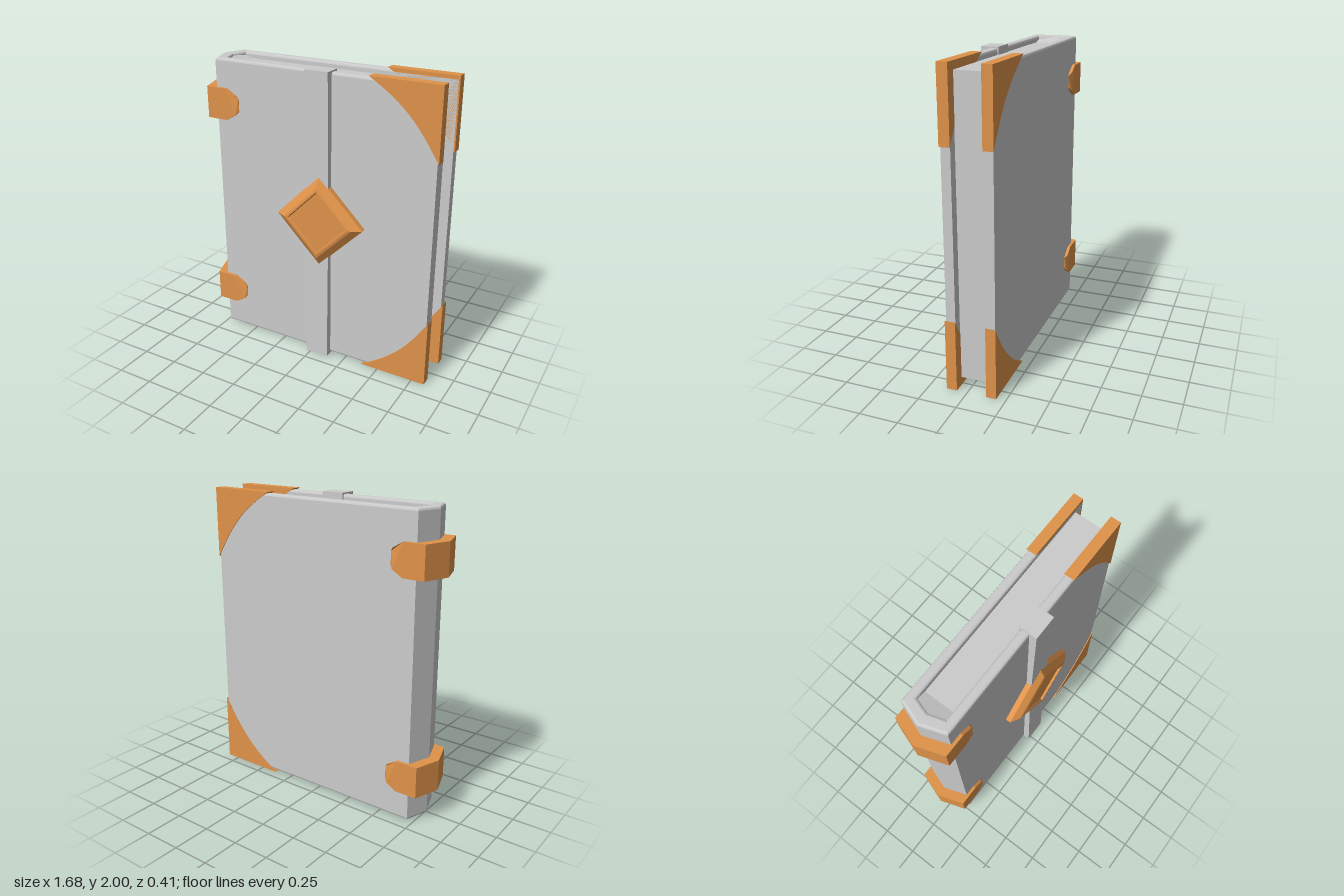
import * as THREE from 'three';

const grey = new THREE.MeshStandardMaterial({ color: 0xcccccc, flatShading: true });
const bronze = new THREE.MeshStandardMaterial({ color: 0xe0934a, flatShading: true });

const toShape = (pts) => new THREE.Shape(pts.map(([a, b]) => new THREE.Vector2(a, b)));

// Outline in x/z, raised from y0 to y1, with an optional inset bevel
function raise(pts, y0, y1, bevel = 0) {
  const geo = new THREE.ExtrudeGeometry(toShape(pts.map(([x, z]) => [x, -z])), {
    depth: y1 - y0 - 2 * bevel, bevelEnabled: bevel > 0, bevelSize: bevel,
    bevelThickness: bevel, bevelOffset: -bevel, bevelSegments: 2,
  });
  return geo.rotateX(-Math.PI / 2).translate(0, y0 + bevel, 0);
}

// Outline in x/y, extruded from z0 to z1
function plate(shape, z0, z1) {
  return new THREE.ExtrudeGeometry(shape, { depth: z1 - z0, bevelEnabled: false }).translate(0, 0, z0);
}

export function createModel() {
  const model = new THREE.Group();
  model.name = 'book';
  const add = (name, geo, material, parent = model) => {
    const mesh = new THREE.Mesh(geo, material);
    mesh.name = name;
    parent.add(mesh);
  };

  // Cover wrapped around a pointed spine
  add('cover', raise([
    [0.83, 0.13], [-0.72, 0.13], [-0.775, -0.03], [-0.72, -0.185], [0.83, -0.185],
    [0.83, -0.125], [-0.66, -0.125], [-0.69, -0.03], [-0.66, 0.07], [0.83, 0.07],
  ], 0.02, 1.99, 0.015), grey);

  // Recessed page block, sloping up towards the spine
  add('pages', plate(toShape([
    [-0.7, 0.03], [-0.6, 0.06], [0.77, 0.06], [0.77, 1.95], [-0.6, 1.95], [-0.7, 1.98],
  ]), -0.14, 0.08), grey);

  // Strap over the front cover, pulled in slightly at the middle
  const strap = new THREE.BoxGeometry(0.16, 1.99, 0.115, 1, 2, 1).translate(0.055, 1.005, 0.1205);
  const sp = strap.attributes.position;
  for (let i = 0; i < sp.count; i++) {
    if (Math.abs(sp.getY(i) - 1.005) < 0.1 && sp.getZ(i) > 0.1) sp.setZ(i, 0.165);
  }
  add('strap', strap, grey);

  // Diamond buckle with a raised rim
  const rim = [[0, 0.125], [0.312, 0.125], [0.312, 0.165], [0.25, 0.2], [0.23, 0.205], [0.215, 0.205], [0.208, 0.19], [0, 0.19]];
  const diamond = new THREE.LatheGeometry(rim.map(([r, h]) => new THREE.Vector2(r, h)), 4);
  diamond.rotateX(Math.PI / 2).translate(0.066, 1.02, 0);
  add('diamondBuckle', diamond, bronze);

  // Corner guards on both boards, with a curved inner edge
  for (const [name, yc, dir] of [['top', 2, -1], ['bottom', 0.005, 1]]) {
    const s = new THREE.Shape();
    s.moveTo(0.84, yc);
    s.lineTo(0.38, yc);
    s.bezierCurveTo(0.6, yc + dir * 0.13, 0.69, yc + dir * 0.22, 0.84, yc + dir * 0.465);
    s.closePath();
    add(name + 'FrontCorner', plate(s, 0.068, 0.136), bronze);
    add(name + 'BackCorner', plate(s, -0.19, -0.125), bronze);
  }

  // Spine clasps: pointed band with a tapered tongue on each board
  for (const [name, yc] of [['upperClasp', 1.695], ['lowerClasp', 0.315]]) {
    const clasp = new THREE.Group();
    clasp.name = name;
    model.add(clasp);
    add('band', raise([
      [-0.72, 0.15], [-0.785, 0.15], [-0.845, -0.03], [-0.785, -0.205],
      [-0.72, -0.205], [-0.72, -0.17], [-0.76, -0.03], [-0.72, 0.115],
    ], yc - 0.105, yc + 0.105), bronze, clasp);
    const outline = toShape([
      [-0.75, -0.105], [-0.64, -0.105], [-0.57, -0.063], [-0.55, -0.04],
      [-0.55, 0.04], [-0.57, 0.063], [-0.64, 0.105], [-0.75, 0.105],
    ]);
    for (const [part, z0, z1, tip] of [['frontTongue', 0.1, 0.15, 0.132], ['backTongue', -0.205, -0.155, -0.187]]) {
      const geo = plate(outline, z0, z1);
      const outer = tip > 0 ? z1 : z0;
      const p = geo.attributes.position;
      for (let i = 0; i < p.count; i++) {
        if (p.getX(i) > -0.56 && Math.abs(p.getZ(i) - outer) < 0.001) p.setZ(i, tip);
      }
      add(part, geo.translate(0, yc, 0), bronze, clasp);
    }
  }
  return model;
}
